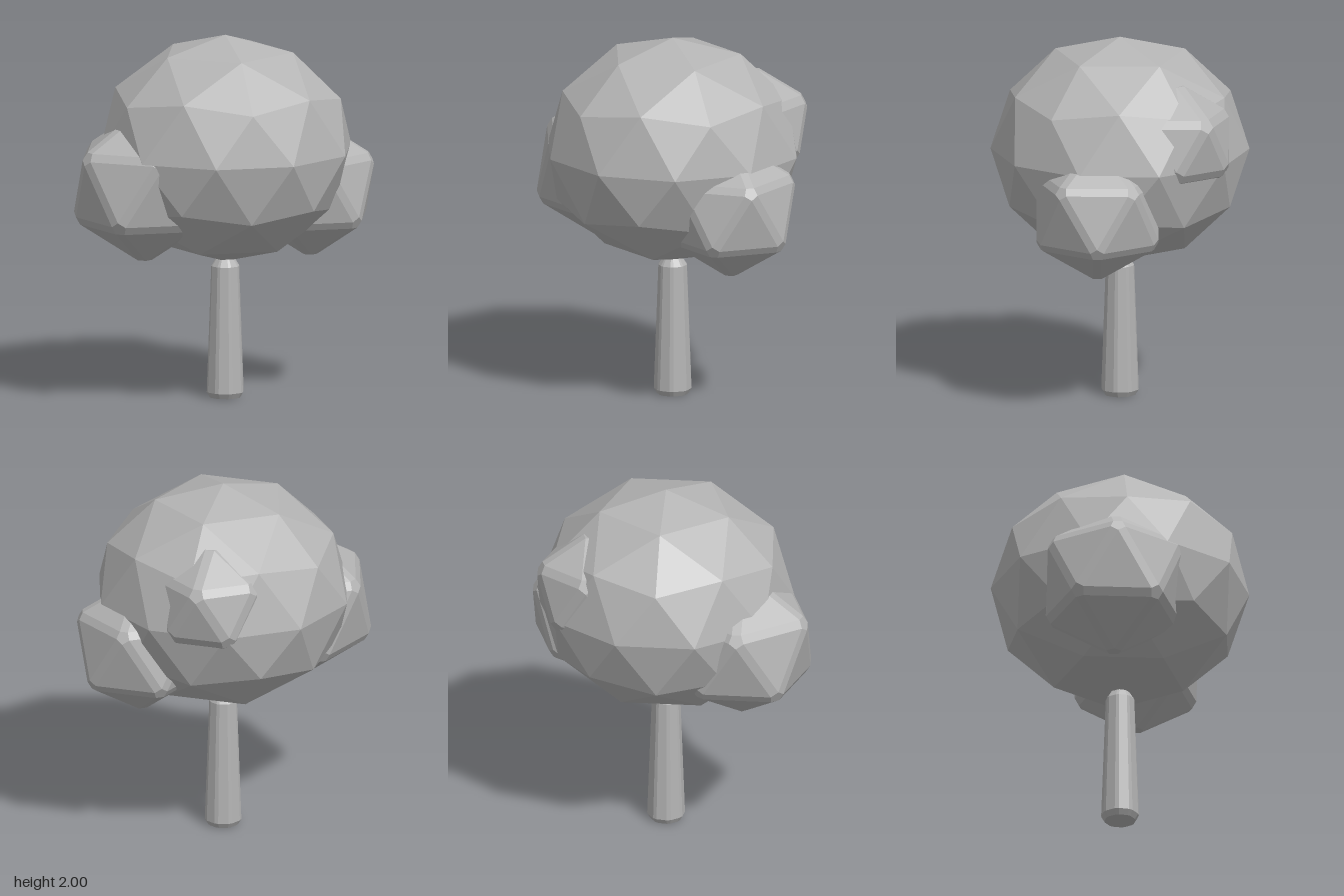
import * as THREE from 'three';
import { ConvexGeometry } from 'three/addons/geometries/ConvexGeometry.js';

const grey = new THREE.MeshStandardMaterial({ color: 0xb4b4b4, flatShading: true });
grey.name = 'light grey';

// Icosahedron standing on a corner, with an upper ring corner towards +x
function uprightIcosahedron(radius, detail) {
  return new THREE.IcosahedronGeometry(radius, detail)
    .rotateZ(-Math.atan(2 / (1 + Math.sqrt(5))));
}

// Icosahedron with chamfered edges and corners: shrink each face, wrap a hull round them
function chamferedIcosahedron(radius, inset) {
  const pos = uprightIcosahedron(radius, 0).attributes.position;
  const points = [];
  for (let i = 0; i < pos.count; i += 3) {
    const tri = [0, 1, 2].map(j => new THREE.Vector3().fromBufferAttribute(pos, i + j));
    const mid = new THREE.Vector3().add(tri[0]).add(tri[1]).add(tri[2]).divideScalar(3);
    tri.forEach(v => points.push(v.lerp(mid, inset)));
  }
  return new ConvexGeometry(points);
}

// Tapered eight-sided post with chamfered corners and ends
function trunkGeometry() {
  const rings = [[0, 0.085], [0.03, 0.103], [0.725, 0.078], [0.77, 0.05]];
  const points = [];
  for (const [y, r] of rings) {
    for (let k = 0; k < 8; k++) {
      for (const side of [-1, 1]) {
        const a = (k + 0.5) * Math.PI / 4 + side * 0.11;
        points.push(new THREE.Vector3(r * Math.cos(a), y, r * Math.sin(a)));
      }
    }
  }
  return new ConvexGeometry(points);
}

export function createModel() {
  const tree = new THREE.Group();
  tree.name = 'tree';
  const add = (name, geometry, x, y, z) => {
    const mesh = new THREE.Mesh(geometry, grey);
    mesh.name = name;
    mesh.position.set(x, y, z);
    tree.add(mesh);
  };

  add('trunk', trunkGeometry(), 0.005, 0, 0);

  // Main crown: faceted ball, a little flattened
  const crown = uprightIcosahedron(1, 1).scale(0.705, 0.625, 0.705);
  crown.computeVertexNormals();
  add('crown', crown, 0.005, 1.375, 0);

  // Smaller clumps of leaves around the crown
  add('rightClump', chamferedIcosahedron(0.44, 0.2), -0.42, 1.2, 0.23);
  add('leftClump', chamferedIcosahedron(0.4, 0.2), 0.455, 1.135, -0.18);
  add('backClump', chamferedIcosahedron(0.345, 0.26), 0.075, 1.49, -0.435);

  return tree;
}
